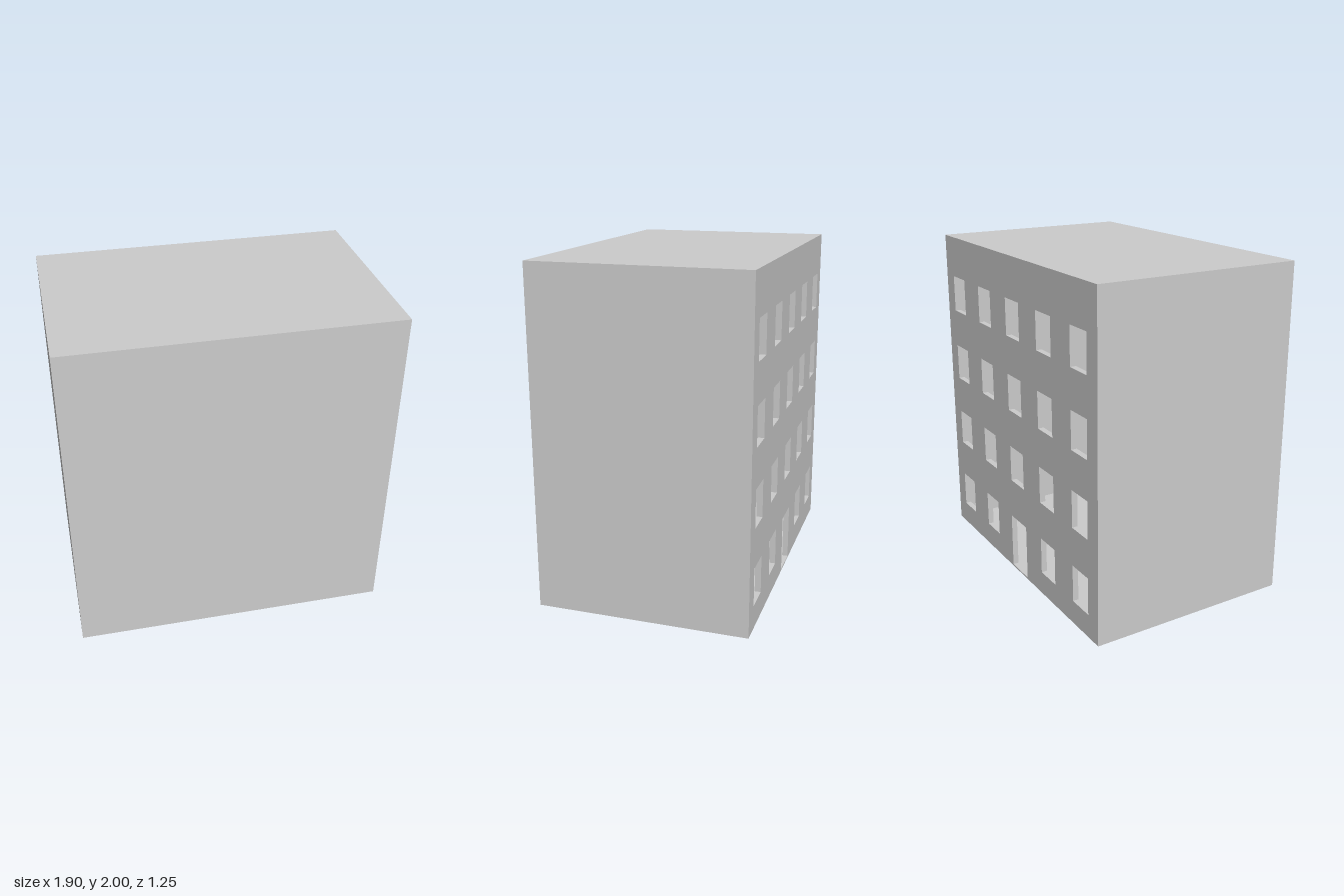
import * as THREE from 'three';

const W = 1.9, H = 2, D = 1.25; // outer size
const WALL = 0.03, BACK = 0.035, FLOOR = 0.01;
const COLS = 5, ROWS = 4;

const material = new THREE.MeshStandardMaterial({ color: 0xcccccc, flatShading: true });

// Rectangle given by its left, bottom, width and height
function rect(target, x, y, w, h) {
  target.moveTo(x, y);
  target.lineTo(x + w, y);
  target.lineTo(x + w, y + h);
  target.lineTo(x, y + h);
  target.closePath();
  return target;
}

export function createModel() {
  const model = new THREE.Group();
  model.name = 'building';

  const add = (name, geometry, x, y, z) => {
    const mesh = new THREE.Mesh(geometry, material);
    mesh.name = name;
    mesh.position.set(x, y, z);
    model.add(mesh);
  };
  const box = (name, w, h, d, x, y, z) => add(name, new THREE.BoxGeometry(w, h, d), x, y, z);

  // Facade with a door in the middle of the ground floor and windows elsewhere
  const facade = rect(new THREE.Shape(), -W / 2, 0, W, H);
  const pitch = W / COLS, storey = 0.46;
  const winW = 0.17, winH = 0.226, firstSill = 0.142;
  const doorW = 0.2, doorTop = 0.355;
  for (let row = 0; row < ROWS; row++) {
    for (let col = 0; col < COLS; col++) {
      const x = (col - (COLS - 1) / 2) * pitch;
      const isDoor = row === 0 && col === (COLS - 1) / 2;
      facade.holes.push(isDoor
        ? rect(new THREE.Path(), x - doorW / 2, FLOOR, doorW, doorTop - FLOOR)
        : rect(new THREE.Path(), x - winW / 2, firstSill + row * storey, winW, winH));
    }
  }
  add('facade', new THREE.ExtrudeGeometry(facade, { depth: BACK, bevelEnabled: false }), 0, 0, -D / 2);

  // Plain wall on the opposite side
  box('plainWall', W, H, WALL, 0, H / 2, D / 2 - WALL / 2);

  // Side walls, floor and roof enclosing one hollow room
  const depth = D - BACK - WALL, z = (BACK - WALL) / 2;
  for (const side of [1, -1]) {
    box(side > 0 ? 'leftWall' : 'rightWall', WALL, H, depth, side * (W - WALL) / 2, H / 2, z);
  }
  box('floor', W - 2 * WALL, FLOOR, depth, 0, FLOOR / 2, z);
  box('roof', W - 2 * WALL, WALL, depth, 0, H - WALL / 2, z);

  return model;
}
